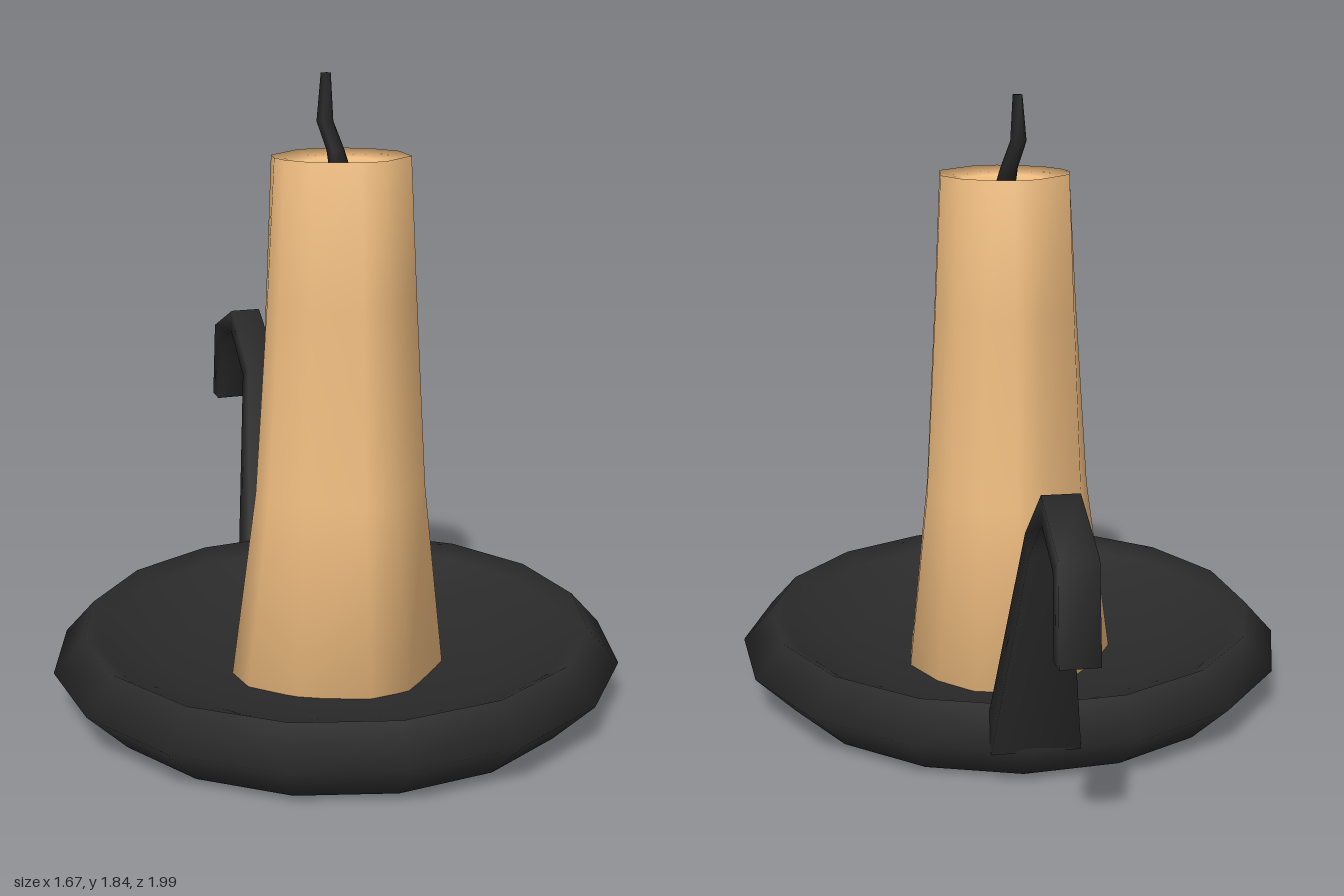
import * as THREE from 'three';

const wax = new THREE.MeshStandardMaterial({ color: 0xf0bd80 });
const iron = new THREE.MeshStandardMaterial({ color: 0x2a2a2a });
const charred = new THREE.MeshStandardMaterial({ color: 0x222222 });

// Closed skin over rings of [x, y, z] points, capped by a point at each end.
// Rings run counter-clockwise when seen from the far end.
function loft(name, rings, start, end, material) {
  const n = rings[0].length;
  const points = [...rings.flat(), start, end];
  const first = points.length - 2, last = points.length - 1;
  const index = [];
  for (let i = 0; i < n; i++) {
    const j = (i + 1) % n;
    for (let r = 0; r < rings.length - 1; r++) {
      const a = r * n, b = a + n;
      index.push(a + i, a + j, b + j, a + i, b + j, b + i);
    }
    const top = (rings.length - 1) * n;
    index.push(first, j, i, last, top + i, top + j);
  }
  const geometry = new THREE.BufferGeometry();
  geometry.setAttribute('position', new THREE.Float32BufferAttribute(points.flat(), 3));
  geometry.setIndex(index);
  geometry.computeVertexNormals();
  const mesh = new THREE.Mesh(geometry, material);
  mesh.name = name;
  return mesh;
}

// Regular ring lying flat at height y
function circle(x, y, z, rx, rz, sides, turn = 0) {
  return Array.from({ length: sides }, (_, i) => {
    const a = turn + (i / sides) * Math.PI * 2;
    return [x + rx * Math.sin(a), y, z + rz * Math.cos(a)];
  });
}

// Sixteen-sided shallow dish with a bevelled rim and hollow floor
function dish() {
  const profile = [[0.72, 0], [0.845, 0.125], [0.755, 0.225], [0.7, 0.19], [0.5, 0.1], [0.25, 0.07]];
  const turn = THREE.MathUtils.degToRad(98.1);
  const rings = profile.map(([r, y]) => circle(0, y, 0.15, r, r, 16, turn));
  return loft('dish', rings, [0, 0, 0.15], [0, 0.065, 0.15], iron);
}

// Candle: an uneven melted foot easing into a round, slightly hollow top
function candle() {
  const foot = [
    [0.21, -0.12], [0.07, -0.19], [-0.07, -0.21], [-0.2, -0.15], [-0.27, -0.06], [-0.285, 0.2],
    [-0.27, 0.33], [-0.19, 0.41], [-0.03, 0.425], [0.18, 0.38], [0.27, 0.3], [0.31, 0.06],
  ];
  const cx = 0.01, cz = 0.12;
  const ring = (y, footness, radius) => foot.map(([x, z]) => {
    const a = Math.atan2(z - cz, x - cx);
    return [
      THREE.MathUtils.lerp(cx + radius * Math.cos(a), x, footness), y,
      THREE.MathUtils.lerp(cz + radius * Math.sin(a), z, footness),
    ];
  });
  const rings = [
    ring(0.06, 1, 0.2), ring(0.63, 0.45, 0.2), ring(1.2, 0.15, 0.203),
    ring(1.605, 0, 0.2), ring(1.585, 0, 0.12),
  ];
  return loft('candle', rings, [cx, 0.06, cz], [cx, 1.575, cz], wax);
}

// Bent, tapering wick
function wick() {
  const rings = [
    [0.01, 1.56, 0.13, 0.032, 0.028], [-0.005, 1.62, 0.128, 0.026, 0.026],
    [-0.037, 1.7, 0.125, 0.025, 0.021], [-0.035, 1.835, 0.122, 0.015, 0.012],
  ].map(([x, y, z, rx, rz]) => circle(x, y, z, rx, rz, 6));
  return loft('wick', rings, [0.01, 1.56, 0.13], [-0.035, 1.835, 0.122], charred);
}

// Hooked handle bent in an upright plane that leans back and to the right
function handle() {
  const out = [-0.606, -0.796], side = [0.796, -0.606], origin = [-0.415, -0.51];
  const place = (s, y, w) => [
    origin[0] + out[0] * s + side[0] * w, y, origin[1] + out[1] * s + side[1] * w,
  ];
  // distance outward, height, half width, half thickness, slope in degrees
  const sections = [
    [-0.01, 0.12, 0.125, 0.06, 90], [0.174, 0.765, 0.053, 0.036, 57],
    [0.342, 0.91, 0.05, 0.038, 9], [0.522, 0.83, 0.05, 0.04, -53], [0.553, 0.59, 0.052, 0.033, -85],
  ];
  const rings = sections.map(([s, y, w, t, slope]) => {
    const a = THREE.MathUtils.degToRad(slope);
    return [[1, 1], [-1, 1], [-1, -1], [1, -1]].map(([i, j]) =>
      place(s + j * t * Math.sin(a), y - j * t * Math.cos(a), i * w));
  });
  return loft('handle', rings, place(-0.01, 0.12, 0), place(0.553, 0.59, 0), iron);
}

export function createModel() {
  const group = new THREE.Group();
  group.name = 'candleHolder';
  group.add(dish(), candle(), wick(), handle());
  return group;
}
